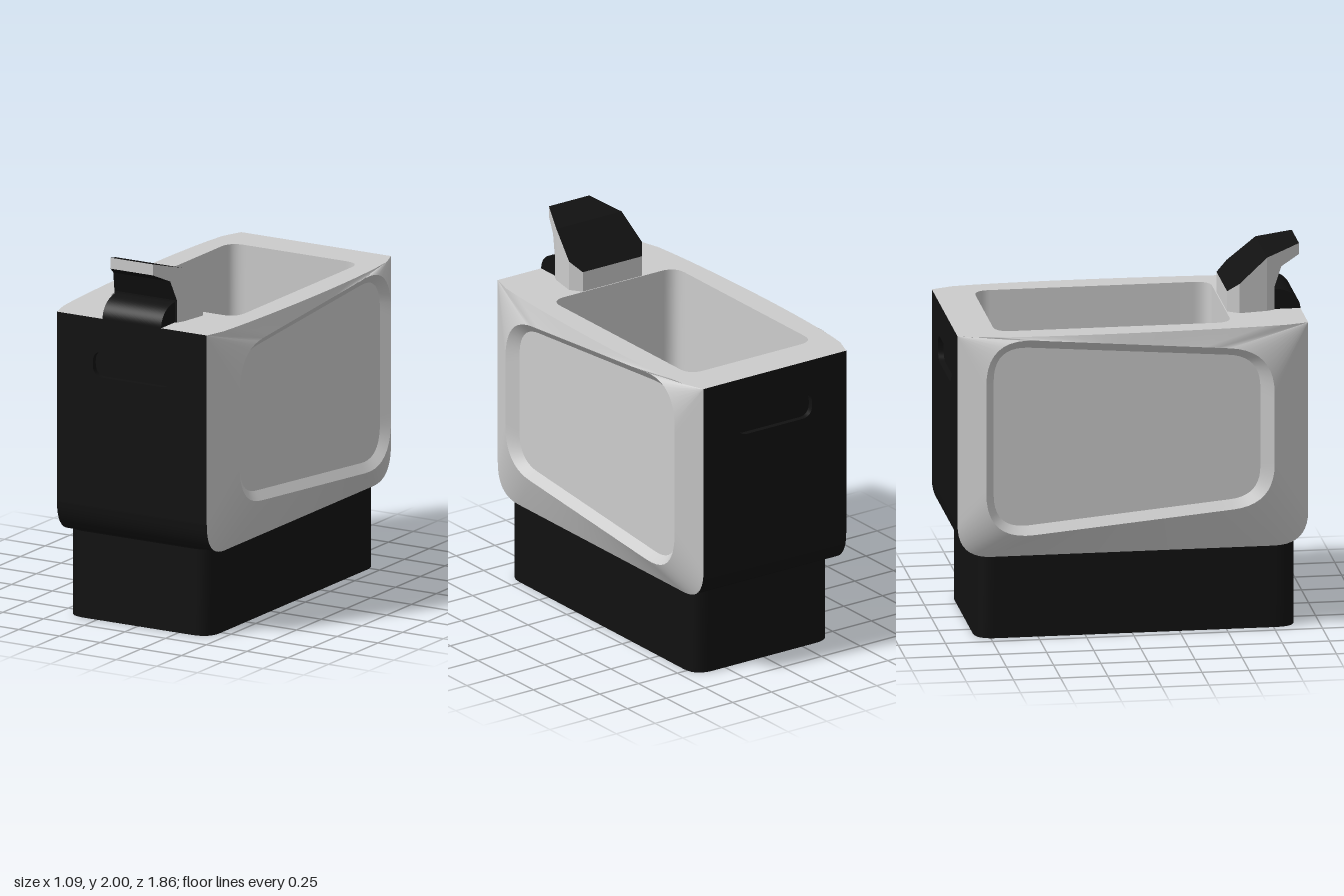
import * as THREE from 'three';

const grey = new THREE.MeshStandardMaterial({ color: 0xcccccc, side: THREE.DoubleSide });
const greyFlat = new THREE.MeshStandardMaterial({ color: 0xcccccc, side: THREE.DoubleSide, flatShading: true });
const black = new THREE.MeshStandardMaterial({ color: 0x111111, side: THREE.DoubleSide });
const blackFlat = new THREE.MeshStandardMaterial({ color: 0x111111, side: THREE.DoubleSide, flatShading: true });

const ARC = 10, EDGE = 16;
const TOP = 1.66, BOTTOM = 0.45, HALF_W = 0.46, HALF_L = 0.93;

// 2D loop through corners [u, v, radius], same point count for any radii
function roundedLoop(corners) {
  const pts = [], n = corners.length;
  const toward = (a, b, r) => {
    const d = Math.hypot(b[0] - a[0], b[1] - a[1]);
    return [a[0] + (b[0] - a[0]) * r / d, a[1] + (b[1] - a[1]) * r / d];
  };
  corners.forEach((c, i) => {
    const prev = corners[(i + n - 1) % n], next = corners[(i + 1) % n];
    const p = toward(c, prev, c[2]), q = toward(c, next, c[2]);
    for (let k = 0; k <= ARC; k++) {
      const t = k / ARC, s = 1 - t;
      pts.push([0, 1].map(m => s * s * p[m] + 2 * s * t * c[m] + t * t * q[m]));
    }
    const e = toward(next, c, next[2]);
    for (let k = 1; k < EDGE; k++) {
      const t = k / EDGE;
      pts.push([q[0] + (e[0] - q[0]) * t, q[1] + (e[1] - q[1]) * t]);
    }
  });
  return pts;
}

const rectLoop = (u0, u1, v0, v1, r) => roundedLoop([[u0, v0, r], [u1, v0, r], [u1, v1, r], [u0, v1, r]]);

// Skin between matching rows of 3D points
function loft(rows, closed = true) {
  const n = rows[0].length, index = [];
  for (let i = 0; i < rows.length - 1; i++) {
    for (let j = 0; j < (closed ? n : n - 1); j++) {
      const k = (j + 1) % n, a = i * n + j, b = i * n + k, c = b + n, d = a + n;
      index.push(a, b, c, a, c, d);
    }
  }
  const g = new THREE.BufferGeometry();
  g.setAttribute('position', new THREE.Float32BufferAttribute(rows.flat(2), 3));
  g.setIndex(index);
  g.computeVertexNormals();
  return g;
}

// Row collapsed to the middle of a loop, for closing it
function centre(loop) {
  const m = [0, 1, 2].map(k => loop.reduce((s, p) => s + p[k], 0) / loop.length);
  return loop.map(() => m);
}

function add(parent, name, geometry, material) {
  const mesh = new THREE.Mesh(geometry, material);
  mesh.name = name;
  parent.add(mesh);
  return mesh;
}

const toShape = pts => new THREE.Shape(pts.map(p => new THREE.Vector2(p[0], p[1])));

// Bowed half width of the top edge
function topHalfWidth(z) {
  const t = (HALF_L - z) / (2 * HALF_L);
  return HALF_W + 0.085 * Math.pow(Math.max(0, Math.sin(Math.PI * t)), 0.4) * (0.7 + 0.3 * t);
}

export function createModel() {
  const model = new THREE.Group();

  // Base plinth
  const plan = rectLoop(-0.44, 0.44, -0.87, 0.83, 0.11);
  const baseRow = y => plan.map(([x, v]) => [x, y, -v]);
  const base = new THREE.Group();
  base.name = 'base';
  model.add(base);
  add(base, 'baseWall', loft([baseRow(0), baseRow(0.47)]), black);
  add(base, 'baseBottom', loft([centre(baseRow(0)), baseRow(0)]), black);

  // Side outline in (z, y): round at the bottom, square at the top
  const outline = roundedLoop([
    [HALF_L, BOTTOM, 0.18], [-HALF_L, BOTTOM, 0.18], [-HALF_L, TOP, 0], [HALF_L, TOP, 0]]);
  const outer = outline.map(([z, y]) => [y > TOP - 0.001 ? topHalfWidth(z) : HALF_W, y, z]);

  // Raised flank and dished panel on each side
  const rim = roundedLoop([
    [0.74, 0.70, 0.22], [-0.79, 0.56, 0.26], [-0.79, 1.665, 0.26], [0.74, 1.54, 0.24]])
    .map(([z, y]) => [0.546, y, z]);
  const floor = roundedLoop([
    [0.67, 0.74, 0.16], [-0.745, 0.61, 0.19], [-0.745, 1.61, 0.19], [0.67, 1.50, 0.17]])
    .map(([z, y]) => [0.505, y, z]);
  for (const side of [1, -1]) {
    const place = loop => side > 0 ? loop : loop.map(([x, y, z]) => [-x, y, z]).reverse();
    const group = new THREE.Group();
    group.name = side > 0 ? 'leftSide' : 'rightSide';
    model.add(group);
    add(group, 'flank', loft([place(outer), place(rim)]), grey);
    add(group, 'panelBevel', loft([place(rim), place(floor)]), grey);
    add(group, 'panel', loft([place(floor), place(centre(floor))]), grey);
  }

  // Underside strip with rounded ends
  const belt = outline.slice(0, 2 * ARC + EDGE + 1);
  add(model, 'underside', loft([-HALF_W, HALF_W].map(x => belt.map(([z, y]) => [x, y, z])), false), black);

  // Front and back faces with recessed hand grips
  const grip = rectLoop(-0.24, 0.24, 1.34, 1.48, 0.065);
  const gripRow = z => grip.map(([x, y]) => [x, y, z]);
  for (const [name, turn] of [['frontFace', 0], ['backFace', Math.PI]]) {
    const group = new THREE.Group();
    group.name = name;
    group.rotation.y = turn;
    model.add(group);
    const y0 = BOTTOM + 0.18;
    const face = toShape([[-HALF_W, y0], [HALF_W, y0], [HALF_W, TOP], [-HALF_W, TOP]]);
    face.holes.push(toShape(grip));
    add(group, 'facePlate', new THREE.ShapeGeometry(face).translate(0, 0, HALF_L), black);
    add(group, 'gripWall', loft([gripRow(HALF_L), gripRow(HALF_L - 0.03)]), black);
    add(group, 'gripFloor', loft([gripRow(HALF_L - 0.03), centre(gripRow(HALF_L - 0.03))]), black);
  }

  // Top rim and open basin
  const edge = outer.filter(p => p[1] > TOP - 0.001).map(([x, , z]) => [x, -z]);
  const top = toShape([...edge, ...edge.map(([x, v]) => [-x, v]).reverse()]);
  const opening = rectLoop(-0.4, 0.4, -0.535, 0.72, 0.09);
  top.holes.push(toShape(opening));
  add(model, 'topRim', new THREE.ShapeGeometry(top).rotateX(-Math.PI / 2).translate(0, TOP, 0), grey);
  const basinRow = y => opening.map(([x, v]) => [x, y, -v]);
  add(model, 'basinWall', loft([basinRow(TOP), basinRow(0.5)]), grey);
  add(model, 'basinFloor', loft([basinRow(0.5), centre(basinRow(0.5))]), grey);

  // Hood: sections from front to back as [z, half width, bottom, top]
  const sections = [
    [0.93, 0.13, 1.94, 2.0], [0.83, 0.175, 1.89, 1.972], [0.79, 0.192, 1.78, 1.961],
    [0.79, 0.192, TOP, 1.961], [0.75, 0.21, TOP, 1.95], [0.6, 0.235, TOP, 1.82], [0.54, 0.19, TOP, 1.77]];
  const row = (side, level) => sections.map(s => [side * s[1], s[level], s[0]]);
  const [lowR, lowL, highR, highL] = [row(-1, 2), row(1, 2), row(-1, 3), row(1, 3)];
  const hood = new THREE.Group();
  hood.name = 'hood';
  model.add(hood);
  add(hood, 'hoodTop', loft([highL, highR], false), blackFlat);
  add(hood, 'hoodUnderside', loft([lowR, lowL], false), blackFlat);
  add(hood, 'hoodLeft', loft([lowL, highL], false), greyFlat);
  add(hood, 'hoodRight', loft([highR, lowR], false), greyFlat);
  add(hood, 'hoodLip', loft([[lowR[0], lowL[0]], [highR[0], highL[0]]], false), greyFlat);
  add(hood, 'hoodBack', loft([[lowL[6], lowR[6]], [highL[6], highR[6]]], false), greyFlat);

  // Quarter-round roller cover in front of the hood
  const quarter = new THREE.Shape();
  quarter.moveTo(0.78, TOP).lineTo(0.93, TOP);
  quarter.absellipse(0.79, TOP, 0.14, 0.11, 0, Math.PI / 2);
  quarter.lineTo(0.78, TOP + 0.11);
  const cover = new THREE.ExtrudeGeometry(quarter, { depth: 0.36, bevelEnabled: false, curveSegments: 20 });
  add(model, 'rollerCover', cover.rotateY(-Math.PI / 2).translate(0.18, 0, 0), black);

  return model;
}
